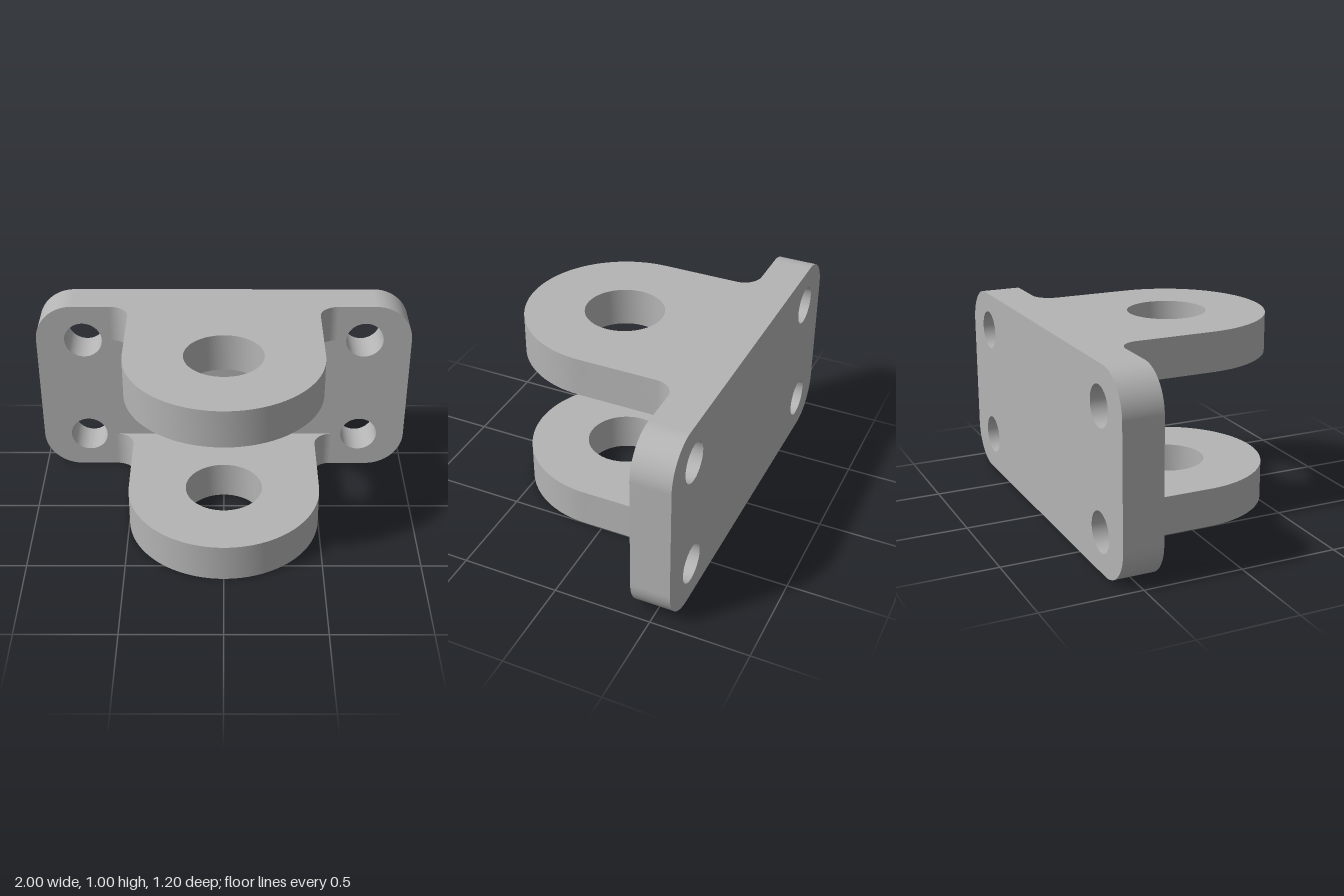
import * as THREE from 'three';
import { toCreasedNormals } from 'three/addons/utils/BufferGeometryUtils.js';

const THICKNESS = 0.2;

// Straight extrusion with smooth curved walls and sharp rims
function slab(shape) {
  const geometry = new THREE.ExtrudeGeometry(shape, {
    depth: THICKNESS, bevelEnabled: false, curveSegments: 32,
  });
  return toCreasedNormals(geometry, Math.PI / 6);
}

function addHole(shape, x, y, radius) {
  shape.holes.push(new THREE.Path().absarc(x, y, radius, 0, Math.PI * 2, true));
}

// Rounded rectangle with four bolt holes
function plateShape() {
  const r = 0.2, q = Math.PI / 2;
  const shape = new THREE.Shape();
  shape.absarc(1 - r, r, r, -q, 0);
  shape.absarc(1 - r, 1 - r, r, 0, q);
  shape.absarc(-1 + r, 1 - r, r, q, 2 * q);
  shape.absarc(-1 + r, r, r, 2 * q, 3 * q);
  shape.closePath();
  for (const x of [-0.75, 0.75]) {
    for (const y of [0.2, 0.8]) addHole(shape, x, y, 0.1);
  }
  return shape;
}

// Round-ended lug with a pin hole and fillets at its root (shape y = -z)
function lugShape() {
  const shape = new THREE.Shape();
  shape.moveTo(-0.6, 0.4);
  shape.absarc(-0.6, 0.3, 0.1, Math.PI / 2, 0, true);
  shape.absarc(0, -0.1, 0.5, Math.PI, Math.PI * 2, false);
  shape.absarc(0.6, 0.3, 0.1, Math.PI, Math.PI / 2, true);
  shape.closePath();
  addHole(shape, 0, -0.1, 0.2);
  return shape;
}

export function createModel() {
  const model = new THREE.Group();
  model.name = 'clevisBracket';
  const metal = new THREE.MeshStandardMaterial({ color: 0xb4b4b4 });
  metal.name = 'grey metal';

  // Upright mounting plate at the back
  const plate = new THREE.Mesh(slab(plateShape()), metal);
  plate.name = 'mountingPlate';
  plate.position.z = -0.6;
  model.add(plate);

  // Matching lower and upper lugs
  const lugGeometry = slab(lugShape()).rotateX(-Math.PI / 2);
  for (const [name, y] of [['lowerLug', 0], ['upperLug', 0.8]]) {
    const lug = new THREE.Mesh(lugGeometry, metal);
    lug.name = name;
    lug.position.y = y;
    model.add(lug);
  }
  return model;
}
